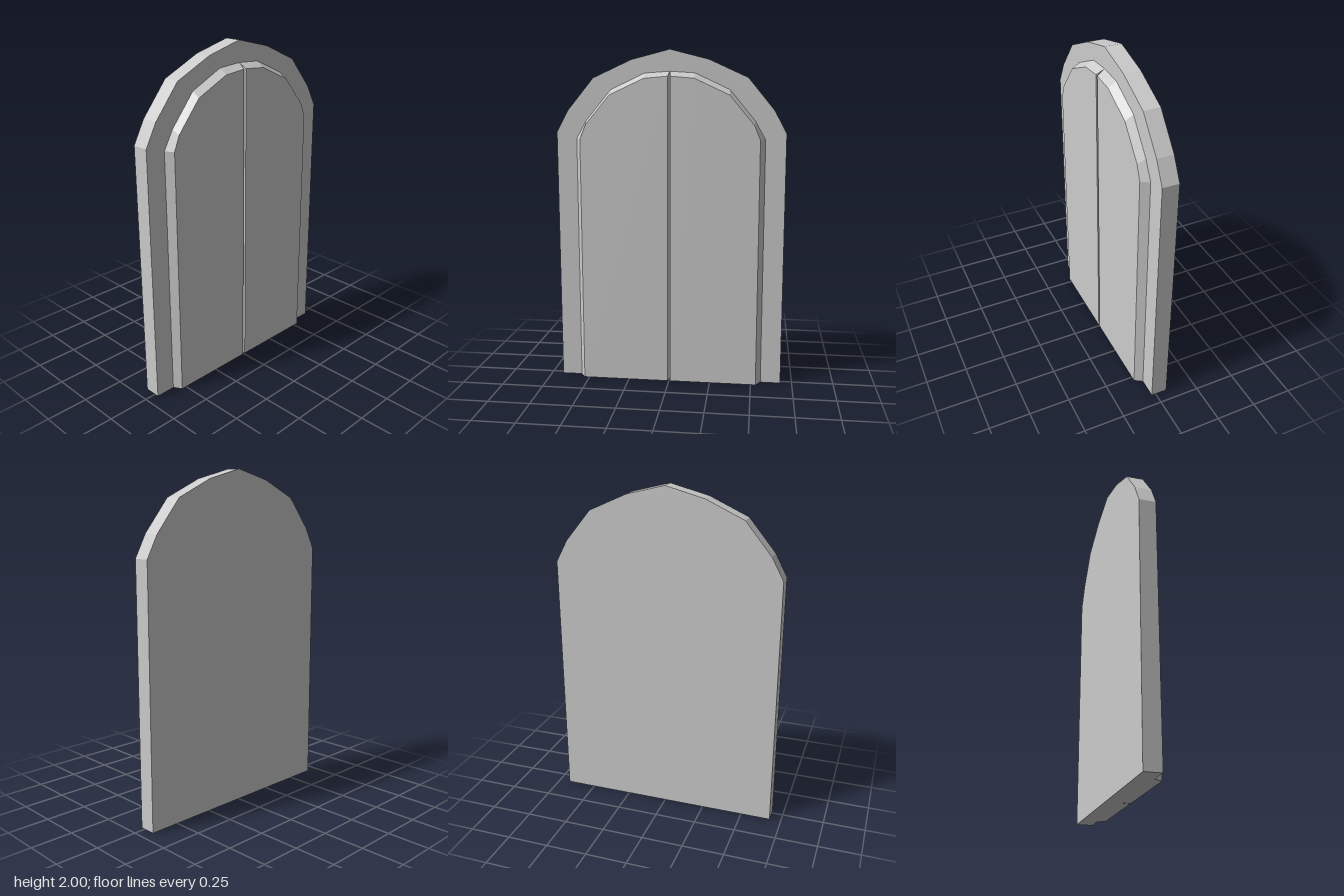
import * as THREE from 'three';

const BACK = -0.073, STEP = 0.026, FRONT = 0.073;

// Half outlines as [sideways, up], running from the bottom centre round to the apex
const frameHalf = [[0.68, 0], [0.68, 1.52], [0.61, 1.65], [0.455, 1.838], [0.227, 1.942], [0, 2]];
const leafBase = [[0, 0], [0.56, 0], [0.56, 1.483], [0.5, 1.59], [0.35, 1.77], [0.147, 1.865], [0, 1.875]];
const leafFace = [[0.008, 0], [0.53, 0], [0.53, 1.483], [0.495, 1.567], [0.35, 1.74], [0.147, 1.834], [0.008, 1.846]];

// Mirrored outline, reversed so it stays counter-clockwise
const mirror = (points) => points.map(([u, y]) => [-u, y]).reverse();

// Capped solid between a back outline at x0 and a front outline at x1
function loft(backRing, frontRing, x0, x1) {
  const n = backRing.length;
  const positions = [];
  const put = (ring, x, i) => positions.push(x, ring[i][1], -ring[i][0]);
  for (let i = 0; i < n; i++) {
    const j = (i + 1) % n;
    put(backRing, x0, i); put(backRing, x0, j); put(frontRing, x1, j);
    put(backRing, x0, i); put(frontRing, x1, j); put(frontRing, x1, i);
  }
  const caps = THREE.ShapeUtils.triangulateShape(frontRing.map(([u, y]) => new THREE.Vector2(u, y)), []);
  for (const [a, b, c] of caps) {
    for (const i of [a, b, c]) put(frontRing, x1, i);
    for (const i of [c, b, a]) put(backRing, x0, i);
  }
  const geometry = new THREE.BufferGeometry();
  geometry.setAttribute('position', new THREE.Float32BufferAttribute(positions, 3));
  geometry.computeVertexNormals();
  return geometry;
}

export function createModel() {
  const group = new THREE.Group();
  group.name = 'archedDoubleDoor';
  const material = new THREE.MeshStandardMaterial({ color: 0xcccccc, flatShading: true });
  const add = (name, geometry) => {
    const mesh = new THREE.Mesh(geometry, material);
    mesh.name = name;
    group.add(mesh);
  };

  // Arched slab behind the doors
  const frame = [...frameHalf, ...mirror(frameHalf).slice(1)];
  add('archFrame', loft(frame, frame, BACK, STEP));

  // Two bevelled leaves meeting in a V groove
  add('backDoorLeaf', loft(leafBase, leafFace, STEP, FRONT));
  add('frontDoorLeaf', loft(mirror(leafBase), mirror(leafFace), STEP, FRONT));

  return group;
}
